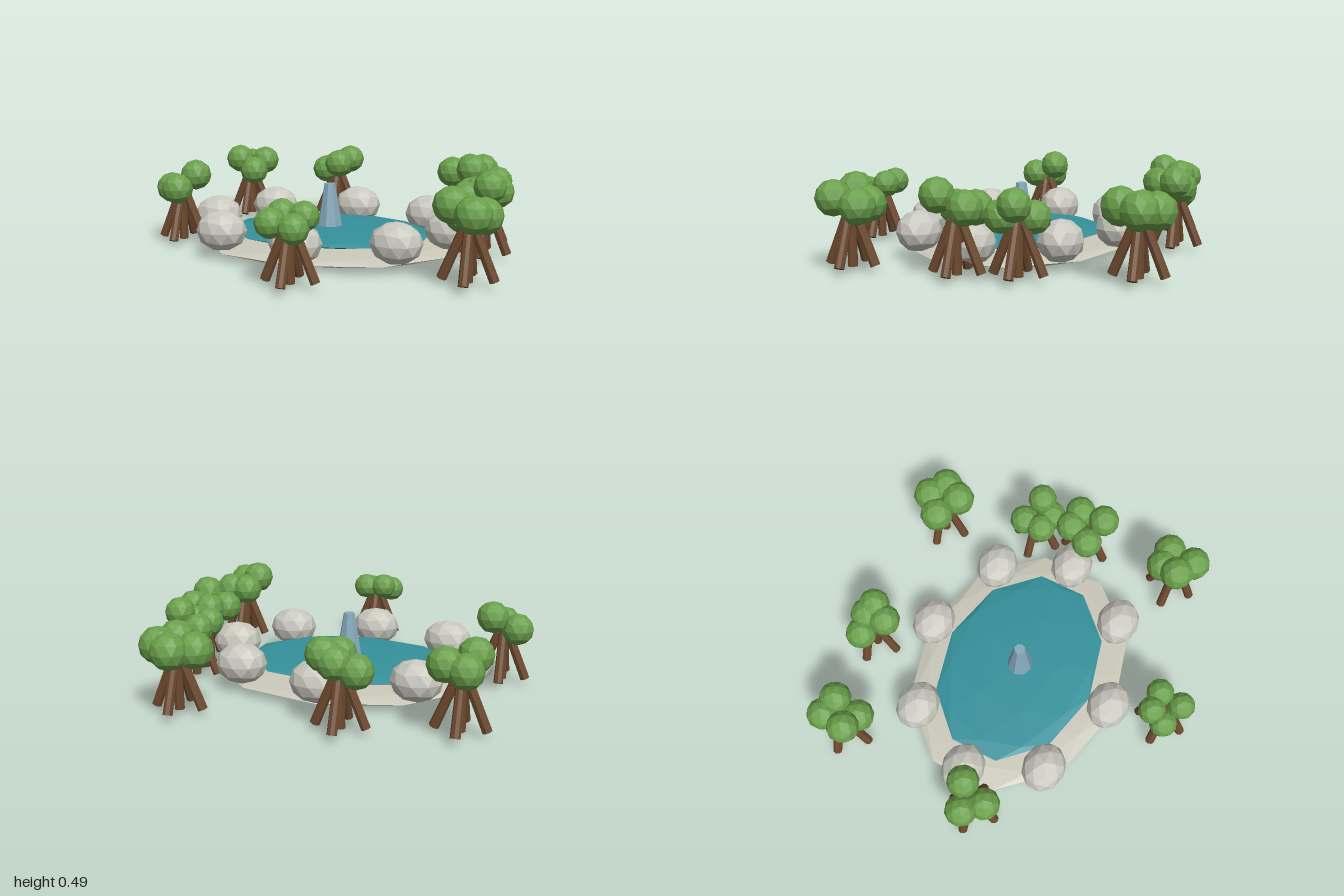
import * as THREE from 'three';

const mat = (name, color) => Object.assign(new THREE.MeshStandardMaterial({ color }), { name });

// Faceted normals for low-poly parts
function facet(geo) {
  const g = geo.index ? geo.toNonIndexed() : geo;
  g.computeVertexNormals();
  return g;
}

export function createModel() {
  const leaf = mat('leaf green', 0x6a9f4b);
  const bark = mat('bark brown', 0x6e4a2f);
  const stone = mat('stone grey', 0xc9c8bf);
  const sand = mat('basin beige', 0xcac9ba);
  const water = mat('water teal', 0x35919b);
  const spout = mat('fountain blue', 0x86abbd);

  const model = new THREE.Group();
  model.name = 'pondGarden';

  // Ball of 80 faces with a corner at each pole
  const ballGeo = new THREE.IcosahedronGeometry(1, 1);
  ballGeo.rotateX(-Math.atan2((1 + Math.sqrt(5)) / 2, 1));
  ballGeo.rotateY(Math.PI / 2);
  facet(ballGeo);

  function ball(parent, name, material, pos, scale) {
    const m = new THREE.Mesh(ballGeo, material);
    m.name = name;
    m.position.set(...pos);
    m.scale.set(...scale);
    parent.add(m);
    return m;
  }

  // Basin and water: flattened balls
  const cx = -0.018;
  ball(model, 'basin', sand, [cx, 0.04, 0], [0.73, 0.04, 0.585]);
  ball(model, 'water', water, [cx, 0.1, 0], [0.577, 0.03, 0.433]);

  // Fountain cone
  const fountain = new THREE.Mesh(facet(new THREE.CylinderGeometry(0.03, 0.075, 0.26, 8)), spout);
  fountain.name = 'fountain';
  fountain.position.set(cx, 0.23, 0);
  model.add(fountain);

  // Ring of boulders
  for (let i = 0; i < 8; i++) {
    const a = (i / 8) * Math.PI * 2;
    ball(model, 'boulder', stone,
      [cx + 0.668 * Math.cos(a), 0.145, 0.545 * Math.sin(a)], [0.137, 0.11, 0.117]);
  }

  // Log between two points
  const logGeo = facet(new THREE.CylinderGeometry(0.023, 0.025, 1, 8));
  function log(parent, from, to) {
    const a = new THREE.Vector3(...from), b = new THREE.Vector3(...to);
    const d = b.clone().sub(a);
    const m = new THREE.Mesh(logGeo, bark);
    m.name = 'trunkLog';
    m.position.copy(a).addScaledVector(d, 0.5);
    m.scale.y = d.length();
    m.quaternion.setFromUnitVectors(new THREE.Vector3(0, 1, 0), d.normalize());
    parent.add(m);
  }

  // Tree: upright log, four splayed logs, and leaf clumps [dx, y, dz]
  function tree(x, z, r, clumps) {
    const g = new THREE.Group();
    g.name = 'tree';
    g.position.set(x, 0, z);
    log(g, [0, 0.025, 0], [0, 0.3, 0]);
    for (let i = 0; i < 4; i++) {
      const a = (i * Math.PI) / 2, c = Math.cos(a), s = Math.sin(a);
      log(g, [0.125 * c, 0.035, 0.125 * s], [0.025 * c, 0.28, 0.025 * s]);
    }
    for (const p of clumps) ball(g, 'leafClump', leaf, p, [r, r, r]);
    model.add(g);
  }

  tree(-0.77, -0.68, 0.087, [[0.07, 0.36, -0.06], [-0.03, 0.34, -0.08], [-0.05, 0.38, 0.06], [0.05, 0.31, 0.08]]);
  tree(-0.23, -0.81, 0.086, [[-0.08, 0.31, -0.01], [0.02, 0.35, -0.03], [0.08, 0.38, -0.01], [0.03, 0.36, 0.08]]);
  tree(0.6, -0.81, 0.095, [[0, 0.34, -0.08], [-0.09, 0.33, 0.01], [0.09, 0.35, -0.02], [0.04, 0.36, 0.08]]);
  tree(0.77, -0.285, 0.082, [[-0.05, 0.3, -0.06], [0.08, 0.37, -0.01], [-0.06, 0.31, 0.05], [0.04, 0.31, 0.07]]);
  tree(0.825, 0, 0.087, [[-0.04, 0.34, -0.08], [0.06, 0.35, -0.07], [-0.09, 0.33, 0.04], [0.04, 0.4, 0.08]]);
  tree(0.84, 0.55, 0.092, [[-0.04, 0.33, -0.07], [0.06, 0.33, -0.07], [-0.08, 0.39, 0.02], [0.03, 0.36, 0.08]]);
  tree(0.06, 0.83, 0.075, [[-0.09, 0.31, 0.02], [-0.06, 0.34, -0.06], [0.05, 0.335, -0.06], [0.045, 0.3, 0.07]]);
  tree(-0.84, 0.14, 0.086, [[0.05, 0.38, -0.07], [-0.075, 0.31, -0.02], [0.005, 0.32, 0.07]]);

  return model;
}
